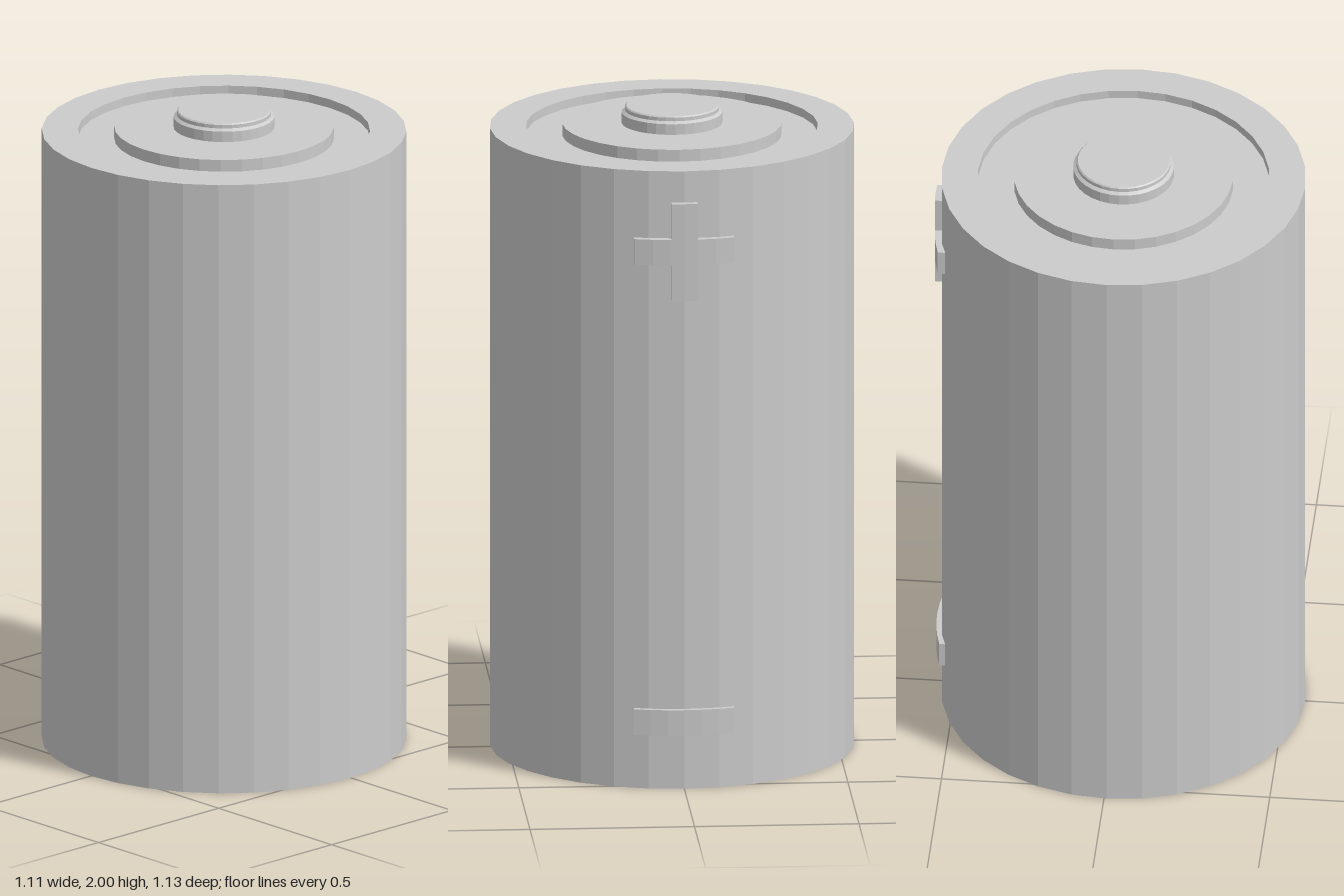
import * as THREE from 'three';

const SEGMENTS = 32;
const BODY_Z = 0.0075; // the raised signs shift the body slightly forward

export function createModel() {
  const model = new THREE.Group();
  model.name = 'battery';
  const material = new THREE.MeshStandardMaterial({ color: 0xcccccc, flatShading: true });

  // Turned part from [radius, height] pairs, listed bottom to top
  function turned(name, profile) {
    const points = profile.map(([r, y]) => new THREE.Vector2(r, y));
    const mesh = new THREE.Mesh(new THREE.LatheGeometry(points, SEGMENTS), material);
    mesh.name = name;
    mesh.position.z = BODY_Z;
    model.add(mesh);
  }

  // Casing with a ring groove in both ends
  turned('casing', [
    [0, 0.004], [0.38, 0.004], [0.38, 0.035], [0.443, 0.035], [0.443, 0],
    [0.553, 0], [0.553, 1.935],
    [0.443, 1.935], [0.443, 1.908], [0.333, 1.908], [0.333, 1.945], [0, 1.945],
  ]);

  // Raised contact with a bevelled rim
  turned('positiveTerminal', [
    [0.153, 1.945], [0.153, 1.978], [0.143, 1.985], [0.143, 1.996], [0.139, 2], [0, 2],
  ]);

  // Plate on the back, bent around the casing
  function bentPlate(name, parent, x0, x1, y0, y1, outerRadius) {
    const steps = Math.max(2, Math.round((x1 - x0) / 0.05));
    const geometry = new THREE.BoxGeometry(x1 - x0, y1 - y0, 1, steps, 1, 1);
    geometry.translate((x0 + x1) / 2, (y0 + y1) / 2, 0);
    const p = geometry.attributes.position;
    for (let i = 0; i < p.count; i++) {
      const r = p.getZ(i) < 0 ? outerRadius : 0.535;
      p.setZ(i, BODY_Z - Math.sqrt(r * r - p.getX(i) ** 2));
    }
    geometry.computeVertexNormals();
    const mesh = new THREE.Mesh(geometry, material);
    mesh.name = name;
    parent.add(mesh);
  }

  // Plus sign: an upright with an arm on each side
  const plus = new THREE.Group();
  plus.name = 'plusSign';
  model.add(plus);
  bentPlate('plusUpright', plus, -0.04, 0.04, 1.533, 1.837, 0.5725);
  bentPlate('plusLeftArm', plus, 0.04, 0.152, 1.645, 1.725, 0.5725);
  bentPlate('plusRightArm', plus, -0.152, -0.04, 1.645, 1.725, 0.5725);

  // Minus sign
  bentPlate('minusSign', model, -0.152, 0.152, 0.17, 0.25, 0.568);

  return model;
}
